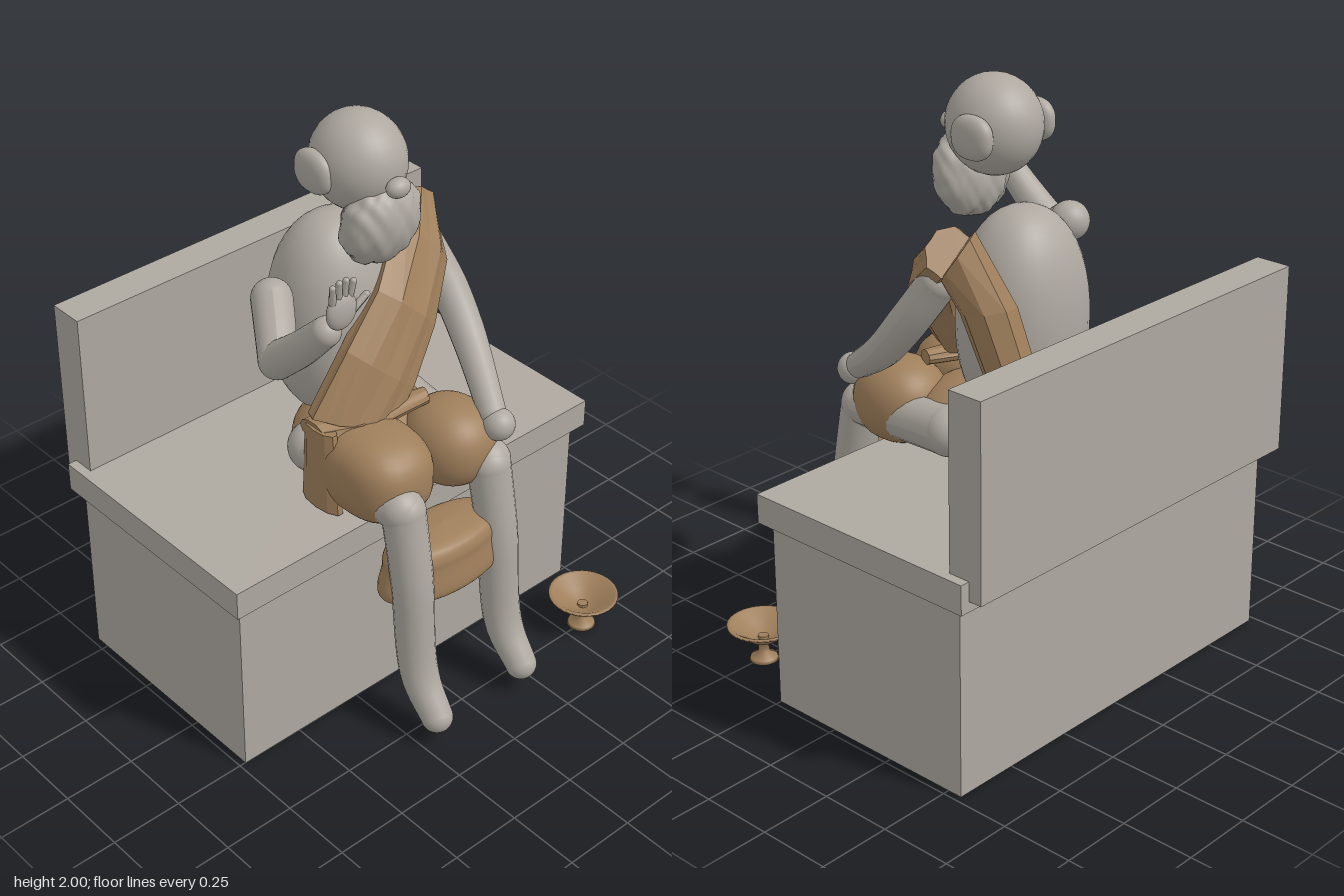
import * as THREE from 'three';

const V = (x, y, z) => new THREE.Vector3(x, y, z);

export function createModel() {
  const root = new THREE.Group();
  const stone = new THREE.MeshStandardMaterial({ color: 0xaea8a0 });
  stone.name = 'stone grey';
  const cloth = new THREE.MeshStandardMaterial({ color: 0x9f7f5b });
  cloth.name = 'tan brown';

  const add = (name, geo, mat, pos = [0, 0, 0], parent = root) => {
    const m = new THREE.Mesh(geo, mat);
    m.name = name;
    m.position.set(...pos);
    parent.add(m);
    return m;
  };
  const box = (name, x, y0, y1, z0, z1) =>
    add(name, new THREE.BoxGeometry(2 * x, y1 - y0, z1 - z0), stone, [0, (y0 + y1) / 2, (z0 + z1) / 2]);
  const ball = (name, pos, r, mat = stone, parent = root) =>
    add(name, new THREE.SphereGeometry(1, 28, 20).scale(...r), mat, pos, parent);

  // Rounded mass: a sphere pushed towards a box as the power rises
  const blob = (name, pos, r, power, mat) => {
    const g = new THREE.SphereGeometry(1, 36, 24), p = g.attributes.position;
    for (let i = 0; i < p.count; i++) {
      const v = V().fromBufferAttribute(p, i);
      const n = (Math.abs(v.x) ** power + Math.abs(v.y) ** power + Math.abs(v.z) ** power) ** (1 / power);
      p.setXYZ(i, (v.x / n) * r[0], (v.y / n) * r[1], (v.z / n) * r[2]);
    }
    g.computeVertexNormals();
    return add(name, g, mat, pos);
  };

  // Tapering tube through points [x, y, z, radius] with round ends
  const limb = (name, pts, sides = 18) => {
    const group = new THREE.Group();
    group.name = name;
    root.add(group);
    const curve = new THREE.CatmullRomCurve3(pts.map(p => V(p[0], p[1], p[2])));
    const n = 28, g = new THREE.TubeGeometry(curve, n, 1, sides), pos = g.attributes.position;
    for (let i = 0; i < pos.count; i++) {
      const t = Math.floor(i / (sides + 1)) / n, c = curve.getPointAt(t);
      const k = curve.getUtoTmapping(t) * (pts.length - 1), a = Math.min(Math.floor(k), pts.length - 2);
      const r = THREE.MathUtils.lerp(pts[a][3], pts[a + 1][3], k - a);
      const v = V().fromBufferAttribute(pos, i).sub(c).multiplyScalar(r).add(c);
      pos.setXYZ(i, v.x, v.y, v.z);
    }
    g.computeVertexNormals();
    add(name + 'Tube', g, stone, [0, 0, 0], group);
    for (const p of [pts[0], pts[pts.length - 1]])
      ball(name + 'End', p.slice(0, 3), [p[3], p[3], p[3]], stone, group);
  };

  // Faceted cloth roll: sections of centre, half width u and half depth w, with u x w along the roll
  const roll = (name, sections, sides, pleat) => {
    const pos = [], idx = [], n = sections.length;
    sections.forEach(([c, u, w]) => {
      for (let j = 0; j < sides; j++) {
        const a = ((j + 0.5) / sides) * Math.PI * 2, k = j % 2 ? 1 - pleat : 1;
        for (let d = 0; d < 3; d++) pos.push(c[d] + k * (u[d] * Math.cos(a) + w[d] * Math.sin(a)));
      }
    });
    for (let i = 0; i < n - 1; i++)
      for (let j = 0; j < sides; j++) {
        const a = i * sides + j, b = i * sides + ((j + 1) % sides);
        idx.push(a, b, a + sides, b, b + sides, a + sides);
      }
    for (let j = 1; j < sides - 1; j++) {
      const e = (n - 1) * sides;
      idx.push(0, j + 1, j, e, e + j, e + j + 1);
    }
    const g = new THREE.BufferGeometry();
    g.setAttribute('position', new THREE.Float32BufferAttribute(pos, 3));
    g.setIndex(idx);
    const flat = g.toNonIndexed();
    flat.computeVertexNormals();
    return add(name, flat, cloth);
  };

  // Bench
  box('benchBase', 0.728, 0, 0.65, -0.552, 0.252);
  box('benchSeat', 0.76, 0.65, 0.75, -0.588, 0.285);
  box('benchBack', 0.727, 0.685, 1.33, -0.635, -0.51);

  // Torso and head
  blob('torso', [0, 1.24, -0.14], [0.217, 0.365, 0.196], 2.2, stone);
  ball('head', [0, 1.84, -0.02], [0.148, 0.16, 0.16]);
  ball('nose', [0, 1.817, 0.16], [0.042, 0.032, 0.032]);
  for (const s of [-1, 1]) blob('ear', [s * 0.142, 1.834, -0.058], [0.036, 0.07, 0.078], 2.4, stone);

  // Lumpy beard
  const bg = new THREE.SphereGeometry(1, 48, 36), bp = bg.attributes.position;
  for (let i = 0; i < bp.count; i++) {
    const v = V().fromBufferAttribute(bp, i);
    const k = 1 + 0.03 * Math.sin(11 * v.x + 2) * Math.sin(7 * v.y + 1) + 0.025 * Math.sin(19 * v.x + 5 * v.z) * Math.cos(9 * v.y - 6 * v.z);
    bp.setXYZ(i, v.x * k * 0.142, v.y * k * 0.144, v.z * k * 0.098);
  }
  bg.computeVertexNormals();
  add('beard', bg, stone, [0, 1.67, 0.082]).rotation.x = 0.2;

  // Raised right arm and hand
  limb('rightUpperArm', [[-0.315, 1.455, -0.06, 0.066], [-0.37, 1.41, 0.02, 0.064], [-0.428, 1.362, 0.1, 0.06]]);
  limb('rightForearm', [[-0.428, 1.362, 0.1, 0.06], [-0.42, 1.45, 0.2, 0.055], [-0.408, 1.555, 0.3, 0.047]]);
  ball('rightPalm', [-0.407, 1.66, 0.368], [0.055, 0.062, 0.024]);
  [[-0.448, 1.765], [-0.423, 1.772], [-0.397, 1.772], [-0.37, 1.76]].forEach(([x, y]) =>
    limb('finger', [[-0.407 + (x + 0.407) * 0.8, 1.69, 0.368, 0.012], [x, y - 0.01, 0.378, 0.01]], 8));
  limb('thumb', [[-0.37, 1.645, 0.37, 0.014], [-0.322, 1.687, 0.38, 0.011]], 8);

  // Left arm resting on the knee
  limb('leftArm', [[0.315, 1.425, -0.08, 0.063], [0.342, 1.27, 0.03, 0.063], [0.322, 1.145, 0.15, 0.058], [0.225, 0.995, 0.37, 0.045]]);
  ball('leftHand', [0.222, 0.975, 0.4], [0.054, 0.054, 0.054]);

  // Legs
  for (const s of [-1, 1]) {
    const side = s > 0 ? 'left' : 'right';
    limb(side + 'Thigh', [[s * 0.2, 0.87, -0.01, 0.085], [s * 0.19, 0.845, 0.39, 0.075]]);
    limb(side + 'Shin', [[s * 0.185, 0.838, 0.4, 0.072], [s * 0.187, 0.6, 0.445, 0.069],
      [s * 0.19, 0.22, 0.495, 0.063], [s * 0.192, 0.1, 0.58, 0.053]]);
  }

  // Wrapped garment over hips and lap
  blob('hipCloth', [0, 0.86, 0.015], [0.25, 0.14, 0.225], 2, cloth);
  blob('rightLapCloth', [-0.145, 0.89, 0.215], [0.155, 0.15, 0.2], 2.6, cloth);
  blob('leftLapCloth', [0.14, 0.885, 0.265], [0.145, 0.145, 0.16], 2.2, cloth);
  roll('waistFold', [
    [[-0.28, 1.015, 0.08], [0, 0.035, 0], [0, 0, 0.06]],
    [[-0.15, 1.02, 0.14], [0, 0.035, 0], [-0.02, 0, 0.06]],
    [[0.1, 1.035, 0.19], [0, 0.025, 0], [-0.01, 0, 0.03]],
  ], 10, 0);
  roll('sideFold', [
    [[-0.275, 0.755, 0.12], [0, 0, 0.09], [0.032, 0, 0]],
    [[-0.262, 1.035, 0.1], [0, 0, 0.07], [0.03, 0, 0]],
  ], 10, 0);

  // Cloth hanging behind and between the shins
  const bell = [[0, 0.47], [0.09, 0.475], [0.132, 0.495], [0.14, 0.53], [0.13, 0.6], [0.128, 0.64], [0.1, 0.675], [0, 0.69]];
  const bellCurve = new THREE.SplineCurve(bell.map(p => new THREE.Vector2(...p)));
  add('hangingCloth', new THREE.LatheGeometry(bellCurve.getPoints(28).map(p => p.setX(Math.max(p.x, 0))), 40),
    cloth, [0, 0, 0.385]).scale.set(1.83, 1, 0.88);

  // Pleated sash across the chest, and its tail down the back
  roll('chestSash', [
    [[-0.16, 1.03, 0.125], [-0.13, 0.04, -0.05], [0, 0, 0.07]],
    [[-0.04, 1.165, 0.115], [-0.11, 0.1, -0.035], [0, 0, 0.075]],
    [[0.1, 1.31, 0.075], [-0.1, 0.1, -0.02], [0.01, 0.01, 0.075]],
    [[0.23, 1.44, -0.01], [-0.09, 0.09, -0.02], [0.03, 0.03, 0.07]],
    [[0.325, 1.535, -0.13], [-0.06, 0.06, 0.01], [0.04, 0.03, 0.05]],
  ], 16, 0.1);
  roll('backSash', [
    [[0.195, 0.89, -0.34], [0.065, 0, 0.05], [0.05, 0, -0.08]],
    [[0.23, 1.15, -0.3], [0.068, 0, 0.05], [0.05, 0.01, -0.076]],
    [[0.265, 1.36, -0.24], [0.072, -0.01, 0.05], [0.048, 0.02, -0.072]],
    [[0.315, 1.53, -0.16], [0.06, -0.06, 0.01], [0.03, 0.045, -0.055]],
  ], 8, 0);

  // Footed offering bowl with a small central nub
  const bowl = [[0, 0], [0.05, 0], [0.045, 0.012], [0.018, 0.03], [0.018, 0.065], [0.06, 0.085], [0.12, 0.128],
    [0.12, 0.134], [0.108, 0.134], [0.06, 0.1], [0.018, 0.08], [0, 0.08]];
  add('bowl', new THREE.LatheGeometry(bowl.map(p => new THREE.Vector2(...p)), 32), cloth, [0.58, 0, 0.495]);
  add('bowlNub', new THREE.CylinderGeometry(0.018, 0.018, 0.012, 16), cloth, [0.58, 0.084, 0.495]);
  return root;
}
